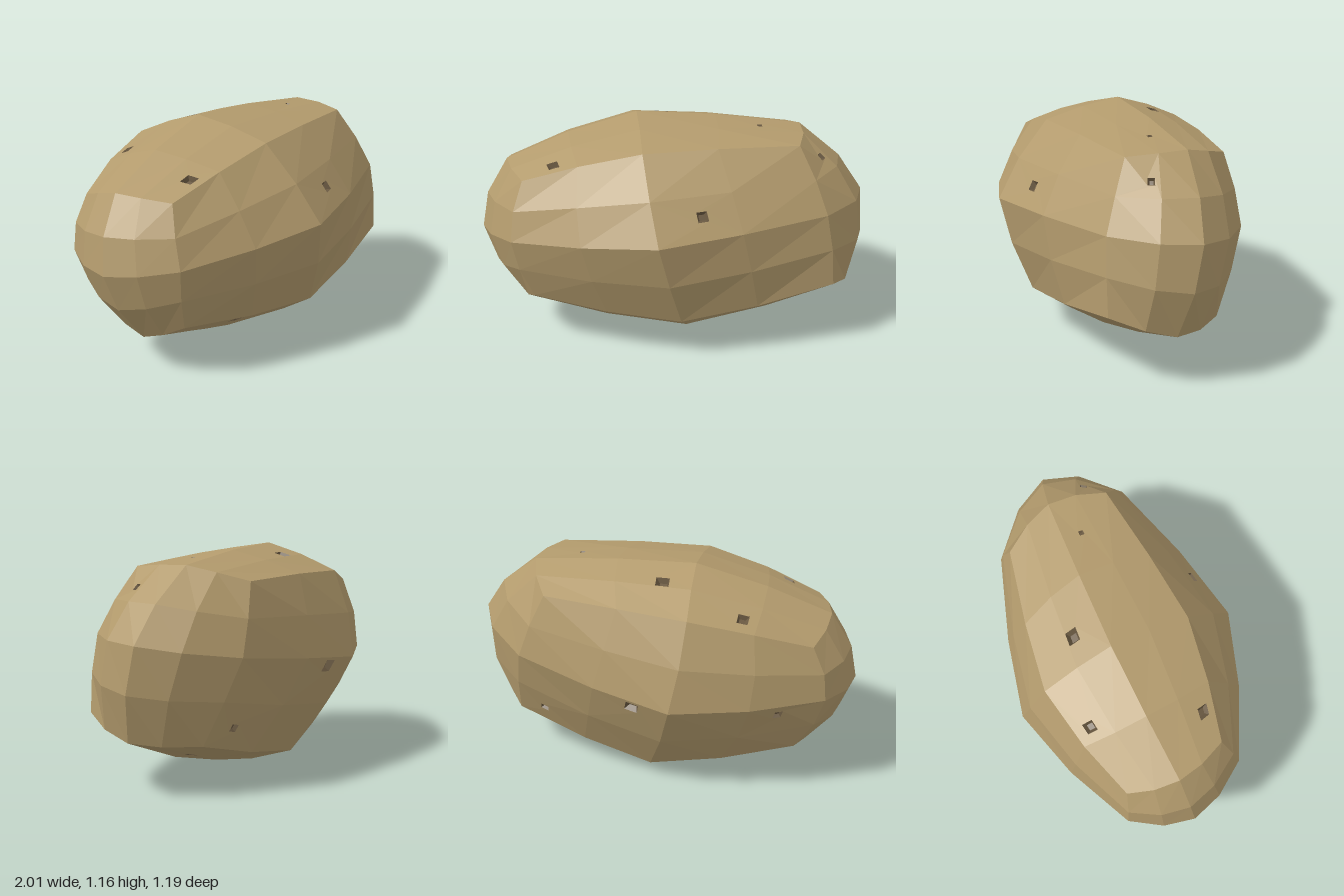
import * as THREE from 'three';

// 3 x 3 x 3 control lattice: [x: right end, middle, left end][y: bottom..top][z: back..front]
const LATTICE = [
  [
    [[-0.75, 0.26, -0.2], [-0.79, 0.2, 0.08], [-0.72, 0.29, 0.29]],
    [[-0.9, 0.6, -0.27], [-1, 0.58, 0.05], [-0.81, 0.63, 0.36]],
    [[-0.82, 0.87, -0.25], [-0.86, 0.94, 0], [-0.75, 0.92, 0.26]],
  ],
  [
    [[-0.02, 0.085, -0.33], [0.07, 0, 0.07], [0.04, 0.23, 0.46]],
    [[-0.2, 0.58, -0.595], [0, 0.58, 0], [-0.07, 0.705, 0.595]],
    [[-0.25, 1.02, -0.46], [-0.19, 1.16, -0.1], [-0.15, 1.08, 0.31]],
  ],
  [
    [[0.74, 0.255, -0.27], [0.93, 0.275, 0.02], [0.82, 0.37, 0.32]],
    [[0.65, 0.67, -0.43], [0.995, 0.74, -0.07], [0.77, 0.75, 0.31]],
    [[0.51, 1.01, -0.39], [0.66, 1.085, -0.13], [0.63, 1.07, 0.17]],
  ],
];

// Small pits: centre and half width
const EYES = [
  [0.14, 0.825, 0.47, 0.027], [-0.6, 0.99, 0.22, 0.03], [-0.42, 0.235, 0.41, 0.028],
  [-0.06, 1.12, -0.26, 0.034], [-0.49, 1.03, -0.33, 0.026], [0.44, 1.11, -0.03, 0.013],
  [0.75, 0.975, 0.09, 0.02], [0, 0.59, -0.57, 0.034], [0.57, 0.325, -0.33, 0.022],
  [0.58, 0.175, -0.11, 0.024], [-0.7, 0.53, -0.37, 0.02],
];

const SEGMENTS = 4;
// Share of the quadratic bulge kept along x, y and z
const BULGE = [0.85, 0.4, 0.4];
const curved = (t) => [t * (t - 1) / 2, 1 - t * t, t * (t + 1) / 2];
const straight = (t) => [Math.max(-t, 0), 1 - Math.abs(t), Math.max(t, 0)];

// Blend straight and quadratic interpolation of the lattice, parameters in -1..1
function latticePoint(params) {
  const sample = (rule) => {
    const [wx, wy, wz] = params.map(rule);
    const p = [0, 0, 0];
    LATTICE.forEach((slab, i) => slab.forEach((row, j) => row.forEach((c, k) => {
      for (let n = 0; n < 3; n++) p[n] += c[n] * wx[i] * wy[j] * wz[k];
    })));
    return p;
  };
  const flat = sample(straight), round = sample(curved);
  return new THREE.Vector3(...flat.map((f, n) => f + (round[n] - f) * BULGE[n]));
}

// Cells of the six lattice sides, corners counter-clockwise from outside
function makeCells() {
  const cells = [];
  for (let axis = 0; axis < 3; axis++) {
    for (const side of [-1, 1]) {
      let b = (axis + 1) % 3, c = (axis + 2) % 3;
      if (side < 0) [b, c] = [c, b];
      const at = (i, j) => {
        const q = [0, 0, 0];
        q[axis] = side;
        q[b] = -1 + 2 * i / SEGMENTS;
        q[c] = -1 + 2 * j / SEGMENTS;
        return latticePoint(q);
      };
      for (let i = 0; i < SEGMENTS; i++) {
        for (let j = 0; j < SEGMENTS; j++) {
          cells.push({ corners: [at(i, j), at(i + 1, j), at(i + 1, j + 1), at(i, j + 1)], eye: null });
        }
      }
    }
  }
  return cells;
}

// Bilinear point inside a cell
function cellPoint([a, b, c, d], u, v) {
  return a.clone().lerp(b, u).lerp(d.clone().lerp(c, u), v);
}

// Give each eye to the cell nearest to it
function placeEyes(cells) {
  for (const [x, y, z, radius] of EYES) {
    const target = new THREE.Vector3(x, y, z);
    let best = { dist: Infinity };
    for (const cell of cells) {
      for (let u = 0.18; u < 0.83; u += 0.04) {
        for (let v = 0.18; v < 0.83; v += 0.04) {
          const dist = cellPoint(cell.corners, u, v).distanceTo(target);
          if (dist < best.dist) best = { dist, cell, u, v, radius };
        }
      }
    }
    best.cell.eye = best;
  }
}

function addQuad(out, a, b, c, d) {
  for (const p of [a, b, c, a, c, d]) out.push(p.x, p.y, p.z);
}

// Join two loops of four corners with quads
function addBand(out, outer, inner) {
  for (let i = 0; i < 4; i++) {
    const n = (i + 1) % 4;
    addQuad(out, outer[i], outer[n], inner[n], inner[i]);
  }
}

function makeMesh(name, positions, color) {
  const geometry = new THREE.BufferGeometry();
  geometry.setAttribute('position', new THREE.Float32BufferAttribute(positions, 3));
  geometry.computeVertexNormals();
  const mesh = new THREE.Mesh(geometry, new THREE.MeshStandardMaterial({ color, flatShading: true }));
  mesh.name = name;
  return mesh;
}

export function createModel() {
  const cells = makeCells();
  placeEyes(cells);
  const skin = [], pits = [];
  for (const { corners, eye } of cells) {
    if (!eye) {
      addQuad(skin, ...corners);
      continue;
    }
    // Rim cut into the skin, sloped walls and a smaller floor
    const [a, b, c, d] = corners;
    const du = Math.min(0.16, eye.radius / a.distanceTo(b));
    const dv = Math.min(0.16, eye.radius / a.distanceTo(d));
    const normal = c.clone().sub(a).cross(d.clone().sub(b)).normalize();
    const loop = (s) => [[-1, -1], [1, -1], [1, 1], [-1, 1]].map(
      ([i, j]) => cellPoint(corners, eye.u + i * du * s, eye.v + j * dv * s));
    const rim = loop(1);
    const floor = loop(0.55).map((p) => p.addScaledVector(normal, -0.8 * eye.radius));
    addBand(skin, corners, rim);
    addBand(pits, rim, floor);
    addQuad(pits, ...floor);
  }

  const model = new THREE.Group();
  model.name = 'potato';
  model.add(makeMesh('skin', skin, 0xb39b6d), makeMesh('eyes', pits, 0x6b5a42));

  // Stand on the ground, centred
  const box = new THREE.Box3().setFromObject(model);
  const mid = box.getCenter(new THREE.Vector3());
  for (const mesh of model.children) mesh.geometry.translate(-mid.x, -box.min.y, -mid.z);
  return model;
}
